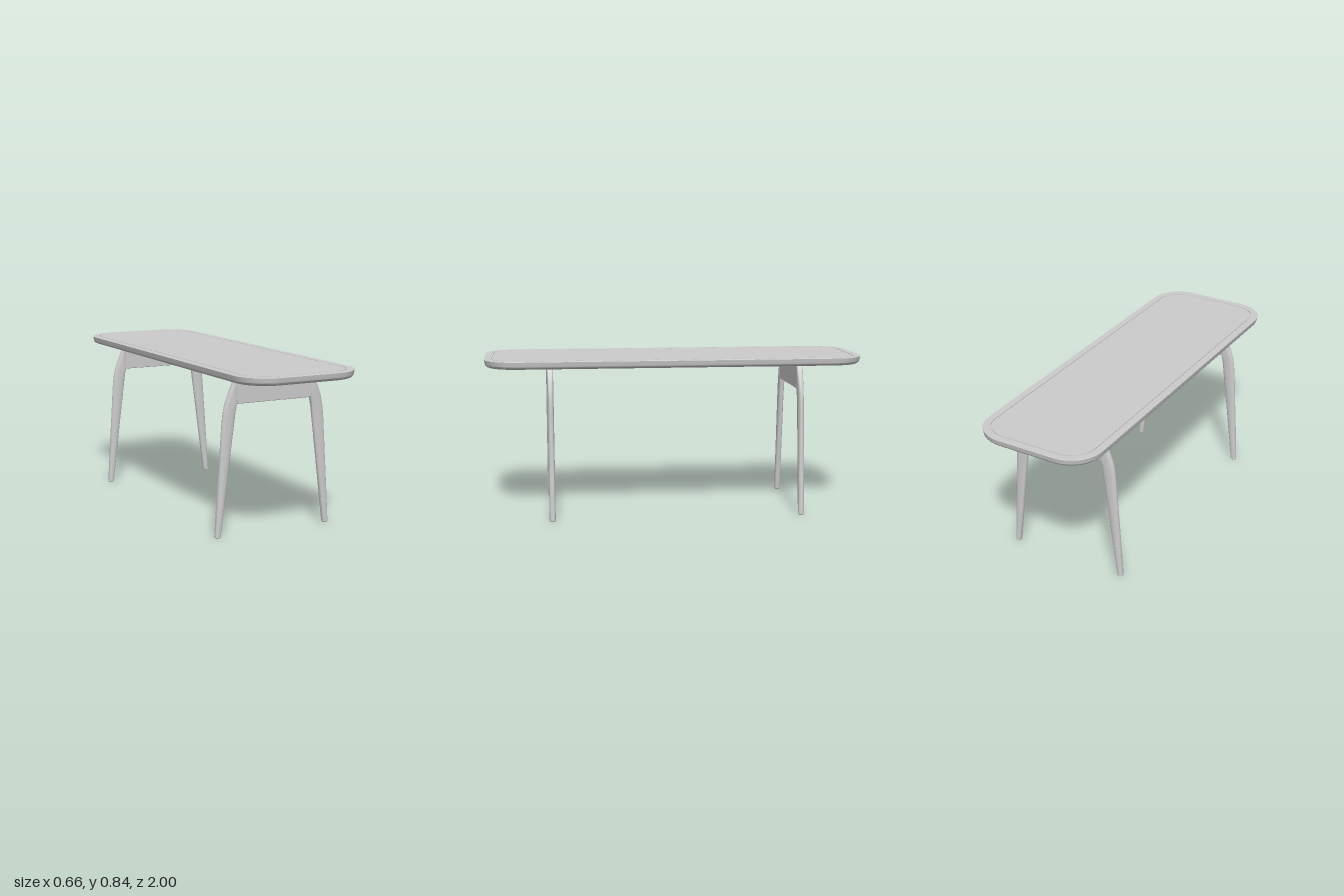
import * as THREE from 'three';
import { toCreasedNormals } from 'three/addons/utils/BufferGeometryUtils.js';
import { RoundedBoxGeometry } from 'three/addons/geometries/RoundedBoxGeometry.js';

const material = new THREE.MeshStandardMaterial({ color: 0xcccccc });

// Skin a stack of closed rings (bottom to top, running from +x towards +z) and cap both ends
function loft(rings) {
  const n = rings[0].length, pos = [], index = [];
  rings.forEach(r => r.forEach(p => pos.push(...p)));
  for (let i = 0; i < rings.length - 1; i++) {
    for (let j = 0; j < n; j++) {
      const a = i * n + j, b = i * n + (j + 1) % n;
      index.push(a, a + n, b, b, a + n, b + n);
    }
  }
  [0, rings.length - 1].forEach((ri, top) => {
    const c = pos.length / 3, mid = [0, 0, 0];
    rings[ri].forEach(p => p.forEach((v, k) => { mid[k] += v / n; }));
    pos.push(...mid);
    for (let j = 0; j < n; j++) {
      const a = ri * n + j, b = ri * n + (j + 1) % n;
      index.push(c, top ? b : a, top ? a : b);
    }
  });
  const geo = new THREE.BufferGeometry();
  geo.setAttribute('position', new THREE.Float32BufferAttribute(pos, 3));
  geo.setIndex(index);
  return toCreasedNormals(geo, 0.6);
}

// Rounded rectangle ring, inset from the table's outline
function outline(inset, y) {
  const radius = 0.17, steps = 14, ring = [];
  const cx = 0.327 - radius, cz = 1 - radius, r = radius - inset;
  [[1, 1], [-1, 1], [-1, -1], [1, -1]].forEach(([sx, sz], q) => {
    for (let i = 0; i <= steps; i++) {
      const a = (q + i / steps) * Math.PI / 2;
      ring.push([sx * cx + r * Math.cos(a), y, sz * cz + r * Math.sin(a)]);
    }
  });
  return ring;
}

// Leg ring: round outside, inner side squarer as 'inner' grows
function legRing([y, x0, x1, half, inner]) {
  const ring = [], steps = 32, mid = (x0 + x1) / 2, w = (x1 - x0) / 2;
  const power = (v, n) => Math.sign(v) * Math.abs(v) ** (2 / n);
  for (let i = 0; i < steps; i++) {
    const a = i / steps * Math.PI * 2, c = Math.cos(a), s = Math.sin(a);
    const n = c < -1e-6 ? inner : 2.3;
    ring.push([mid + w * power(c, n), y, half * power(s, n)]);
  }
  return ring;
}

export function createModel() {
  const model = new THREE.Group();
  const add = (parent, name, geo) => {
    const mesh = new THREE.Mesh(geo, material);
    mesh.name = name;
    parent.add(mesh);
    return mesh;
  };

  // Tabletop: rounded underside, upright rim, thin groove around the inner panel
  const profile = [[0.04, 0.797]];
  for (let i = 0; i <= 7; i++) {
    const a = i / 7 * Math.PI / 2;
    profile.push([0.003 + 0.025 * (1 - Math.sin(a)), 0.819 - 0.022 * Math.cos(a)]);
  }
  profile.push([0, 0.836], [0.002, 0.838], [0.039, 0.838], [0.039, 0.834],
    [0.043, 0.834], [0.043, 0.838]);
  add(model, 'tabletop', loft(profile.map(([inset, y]) => outline(inset, y))));

  // Leg sections: height, inner x, outer x, half depth, inner squareness
  const sections = [
    [0, 0.304, 0.327, 0.012, 2.3], [0.004, 0.3, 0.331, 0.016, 2.3],
    [0.2, 0.274, 0.319, 0.016, 2.3], [0.4, 0.248, 0.305, 0.016, 2.3],
    [0.55, 0.228, 0.295, 0.016, 2.4], [0.61, 0.221, 0.289, 0.016, 2.8],
    [0.64, 0.217, 0.284, 0.016, 3.5], [0.667, 0.213, 0.278, 0.016, 8],
    [0.695, 0.213, 0.268, 0.016, 10], [0.72, 0.213, 0.258, 0.016, 10],
    [0.745, 0.213, 0.247, 0.016, 10], [0.77, 0.213, 0.235, 0.016, 10],
    [0.788, 0.213, 0.226, 0.016, 10], [0.797, 0.213, 0.219, 0.015, 10],
  ];
  const legGeo = loft(sections.map(legRing));
  const apronGeo = new RoundedBoxGeometry(0.43, 0.131, 0.029, 3, 0.004);

  // A trestle at each end: two legs joined by an apron
  [['front', 0.66], ['back', -0.66]].forEach(([end, z]) => {
    const trestle = new THREE.Group();
    trestle.name = end + 'Trestle';
    trestle.position.z = z;
    add(trestle, end + 'LeftLeg', legGeo);
    add(trestle, end + 'RightLeg', legGeo).rotation.y = Math.PI;
    add(trestle, end + 'Apron', apronGeo).position.y = 0.732;
    model.add(trestle);
  });
  return model;
}
